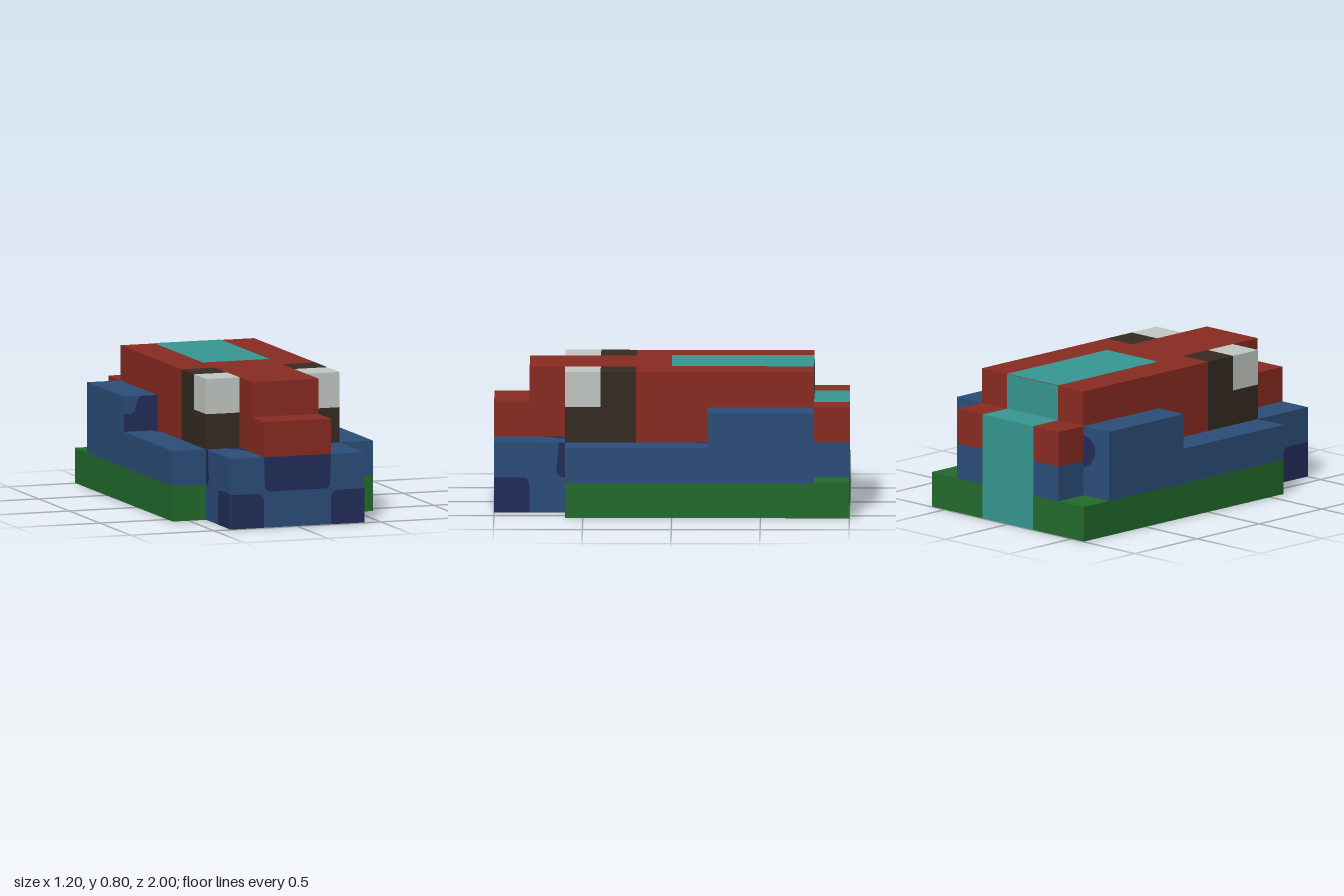
import * as THREE from 'three';

const paint = (name, color) => {
  const m = new THREE.MeshStandardMaterial({ color });
  m.name = name;
  return m;
};

export function createModel() {
  const red = paint('red', 0x8a2b22);
  const blue = paint('blue', 0x2c4e7a);
  const navy = paint('navy', 0x222c5a);
  const green = paint('green', 0x226b2c);
  const teal = paint('teal', 0x369893);
  const pale = paint('pale grey', 0xc3c9c5);
  const dark = paint('dark brown', 0x352b22);
  const brown = paint('belly brown', 0x5d3e12);
  const ink = paint('ink', 0x0d0a28);

  const model = new THREE.Group();
  model.name = 'blockCreature';

  // Box given by its limits on each axis
  const box = (name, mat, [x0, x1], [y0, y1], [z0, z1]) => {
    const mesh = new THREE.Mesh(new THREE.BoxGeometry(x1 - x0, y1 - y0, z1 - z0), mat);
    mesh.position.set((x0 + x1) / 2, (y0 + y1) / 2, (z0 + z1) / 2);
    mesh.name = name;
    model.add(mesh);
  };
  const pair = (name, mat, [x0, x1], y, z) => {
    box(name + 'Left', mat, [x0, x1], y, z);
    box(name + 'Right', mat, [-x1, -x0], y, z);
  };

  // Painted patch lying just above a face; points are the two world coordinates in that plane
  const lift = 0.002;
  const faces = {
    front: { map: (x, y) => [x, y], rot: [0, 0], axis: 'z', out: 1 },
    back: { map: (x, y) => [-x, y], rot: [0, Math.PI], axis: 'z', out: -1 },
    left: { map: (z, y) => [-z, y], rot: [0, Math.PI / 2], axis: 'x', out: 1 },
    right: { map: (z, y) => [z, y], rot: [0, -Math.PI / 2], axis: 'x', out: -1 },
    top: { map: (x, z) => [x, -z], rot: [-Math.PI / 2, 0], axis: 'y', out: 1 },
    bottom: { map: (x, z) => [x, z], rot: [Math.PI / 2, 0], axis: 'y', out: -1 },
  };
  const patch = (name, mat, face, at, points) => {
    const f = faces[face];
    const shape = new THREE.Shape(points.map((p) => new THREE.Vector2(...f.map(...p))));
    const mesh = new THREE.Mesh(new THREE.ShapeGeometry(shape), mat);
    mesh.rotation.set(f.rot[0], f.rot[1], 0);
    mesh.position[f.axis] = at + f.out * lift;
    mesh.name = name;
    model.add(mesh);
  };
  const rect = (a0, a1, b0, b1) => [[a0, b0], [a1, b0], [a1, b1], [a0, b1]];
  // Same patch on both halves of the model
  const patchPair = (name, mat, face, at, points) => {
    const side = face === 'left';
    patch(name + 'Left', mat, face, at, points);
    patch(name + 'Right', mat, side ? 'right' : face, side ? -at : at,
      side ? points : points.map(([x, v]) => [-x, v]));
  };

  // Lower body
  box('base', green, [-0.6, 0.6], [0, 0.2], [-1, 0.6]);
  box('chin', blue, [-0.4, 0.4], [0, 0.4], [0.6, 1]);
  box('flanks', blue, [-0.6, 0.6], [0.2, 0.4], [-0.8, 0.6]);
  pair('haunch', blue, [0.4, 0.6], [0.4, 0.6], [-0.8, -0.2]);
  pair('rump', blue, [0.2, 0.4], [0.2, 0.4], [-1, -0.8]);

  // Upper body
  box('back', red, [-0.4, 0.4], [0.4, 0.8], [-0.8, 0.2]);
  pair('rumpTop', red, [0.2, 0.4], [0.4, 0.6], [-1, -0.8]);
  box('head', red, [-0.2, 0.2], [0.4, 0.8], [0.2, 0.8]);
  box('snout', red, [-0.2, 0.2], [0.4, 0.6], [0.8, 1]);

  // Eyes and their dark surrounds
  pair('cheek', dark, [0.2, 0.4], [0.4, 0.6], [0.2, 0.6]);
  pair('eyeSurround', dark, [0.2, 0.4], [0.6, 0.8], [0.2, 0.4]);
  pair('eye', pale, [0.2, 0.4], [0.6, 0.8], [0.4, 0.6]);

  // Teal stripe running over the back and down the tail
  box('tail', teal, [-0.2, 0.2], [0.2, 0.6], [-1, -0.8]);
  patch('stripeTop', teal, 'top', 0.8, rect(-0.2, 0.2, -0.8, 0));
  patch('stripeBack', teal, 'back', -0.8, rect(-0.2, 0.2, 0.6, 0.8));
  patch('tailFoot', teal, 'back', -1, rect(-0.2, 0.2, 0, 0.2));

  // Underside
  patch('belly', brown, 'bottom', 0, rect(-0.2, 0.2, -1, 0.6));
  patch('chinUnderside', navy, 'bottom', 0,
    [[-0.4, 0.6], [0.4, 0.6], [0.4, 0.8], [0.2, 0.8], [0.2, 1], [-0.2, 1], [-0.2, 0.8], [-0.4, 0.8]]);
  patchPair('chinCorner', ink, 'bottom', 0, rect(0.2, 0.4, 0.8, 1));

  // Navy markings on the chin
  patch('mouth', navy, 'front', 1,
    [[-0.2, 0.4], [-0.195, 0.23], [-0.185, 0.21], [-0.165, 0.205],
      [0.165, 0.205], [0.185, 0.21], [0.195, 0.23], [0.2, 0.4]]);
  patchPair('chinSpot', navy, 'front', 1,
    [[0.2, 0], [0.4, 0], [0.4, 0.195], [0.24, 0.195], [0.215, 0.185], [0.2, 0.16]]);
  patchPair('chinSideSpot', navy, 'left', 0.4,
    [[1, 0], [1, 0.2], [0.83, 0.2], [0.81, 0.19], [0.8, 0.16], [0.8, 0]]);
  patchPair('neckSpot', navy, 'left', 0.4,
    [[0.6, 0.2], [0.63, 0.205], [0.65, 0.23], [0.635, 0.4], [0.6, 0.4]]);
  patchPair('snoutSpot', navy, 'top', 0.4,
    [[0.2, 0.6], [0.29, 0.6], [0.28, 0.63], [0.23, 0.69], [0.215, 0.72], [0.2, 0.73]]);

  // Navy markings on the haunches
  patchPair('haunchFront', navy, 'front', -0.2,
    [[0.4, 0.4], [0.6, 0.4], [0.6, 0.5], [0.555, 0.5], [0.535, 0.515], [0.525, 0.56], [0.505, 0.6], [0.4, 0.6]]);
  patchPair('haunchFoot', navy, 'top', 0.4,
    [[0.4, -0.2], [0.445, -0.2], [0.44, -0.16], [0.425, -0.14], [0.4, -0.135]]);
  patchPair('haunchBack', navy, 'back', -0.8,
    [[0.4, 0.55], [0.45, 0.54], [0.49, 0.5], [0.495, 0.45], [0.46, 0.39], [0.4, 0.36]]);

  return model;
}
